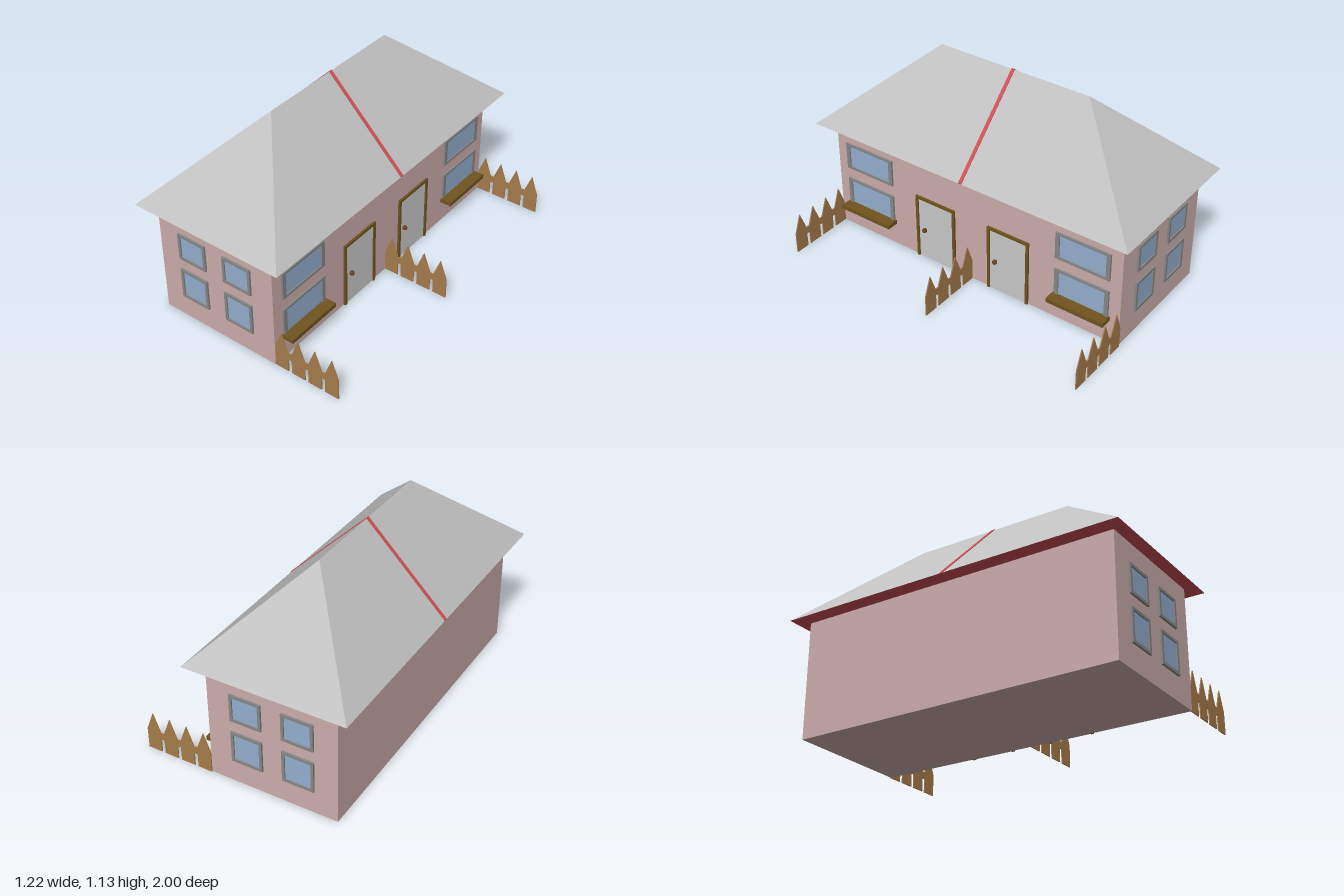
import * as THREE from 'three';

const mat = (name, color, side = THREE.FrontSide) => {
  const m = new THREE.MeshStandardMaterial({ color, side });
  m.name = name;
  return m;
};

export function createModel() {
  const house = new THREE.Group();
  house.name = 'house';
  const wallPink = mat('wallPink', 0xcdafad), roofGrey = mat('roofGrey', 0xc0c0c0);
  const eaveRed = mat('eaveRed', 0xcc5055), frameGrey = mat('frameGrey', 0x888888);
  const glassBlue = mat('glassBlue', 0x95b0d0), doorGrey = mat('doorGrey', 0xcacaca);
  const trimBrown = mat('trimBrown', 0x70541f), fenceTan = mat('fenceTan', 0xa87d4c);
  const knobBrown = mat('knobBrown', 0x6b3f1f);

  const add = (parent, name, geo, material, x = 0, y = 0, z = 0) => {
    const mesh = new THREE.Mesh(geo, material);
    mesh.name = name;
    mesh.position.set(x, y, z);
    parent.add(mesh);
    return mesh;
  };
  const box = (w, h, d) => new THREE.BoxGeometry(w, h, d);
  const shapeOf = pts => new THREE.Shape(pts.map(p => new THREE.Vector2(...p)));
  const rect = (x0, y0, x1, y1) => [[x0, y0], [x1, y0], [x1, y1], [x0, y1]];
  const extrude = (shape, depth) => new THREE.ExtrudeGeometry(shape, { depth, bevelEnabled: false });
  // Flat-shaded faces, each a counter-clockwise list of corners
  const faces = list => {
    const pos = [];
    for (const f of list)
      for (let i = 1; i < f.length - 1; i++) pos.push(...f[0], ...f[i], ...f[i + 1]);
    const g = new THREE.BufferGeometry();
    g.setAttribute('position', new THREE.Float32BufferAttribute(pos, 3));
    g.computeVertexNormals();
    return g;
  };

  // Walls
  const left = 0.214, right = -0.525, halfZ = 0.93, eave = 0.665;
  add(house, 'walls', box(left - right, eave, halfZ * 2), wallPink, (left + right) / 2, eave / 2, 0);

  // Hipped roof with a coloured underside
  const rx0 = -0.612, rx1 = 0.308, ridgeX = -0.153, ridgeY = 1.127;
  const A = [rx0, eave, 1], B = [rx1, eave, 1], C = [rx1, eave, -1], D = [rx0, eave, -1];
  const P = [ridgeX, ridgeY, 0.467], Q = [ridgeX, ridgeY, -0.467];
  add(house, 'roof', faces([[A, B, P], [B, C, Q, P], [C, D, Q], [D, A, P, Q]]), roofGrey);
  add(house, 'eaveUnderside', faces([[A, D, C, B]]), eaveRed);

  // Stripe dividing the two homes
  const stripe = shapeOf([[rx0, eave], [ridgeX, ridgeY], [rx1, eave],
    [rx1, eave + 0.005], [ridgeX, ridgeY + 0.005], [rx0, eave + 0.005]]);
  add(house, 'roofStripe', extrude(stripe, 0.02), eaveRed, 0, 0, -0.01);

  // One group per decorated wall: local x runs along the wall, local z points out
  const wallGroup = (name, x, z, turn) => {
    const g = new THREE.Group();
    g.name = name;
    g.position.set(x, 0, z);
    g.rotation.y = turn;
    house.add(g);
    return g;
  };
  const addWindow = (wall, x0, x1, y0, y1, bx, by) => {
    const inner = rect(x0 + bx, y0 + by, x1 - bx, y1 - by);
    const s = shapeOf(rect(x0, y0, x1, y1));
    s.holes.push(new THREE.Path(inner.map(p => new THREE.Vector2(...p))));
    add(wall, 'windowFrame', extrude(s, 0.011), frameGrey);
    add(wall, 'windowGlass', new THREE.ShapeGeometry(shapeOf(inner)), glassBlue, 0, 0, 0.004);
  };
  const rows = [[0.135, 0.319], [0.387, 0.548]];

  // End walls, four windows each
  for (const s of [1, -1]) {
    const end = wallGroup(s > 0 ? 'frontWall' : 'backWall', 0, s * halfZ, s > 0 ? 0 : Math.PI);
    for (const c of [-0.305, -0.01])
      for (const [y0, y1] of rows) addWindow(end, s * c - 0.09, s * c + 0.09, y0, y1, 0.016, 0.016);
  }

  // Entrance wall, mirrored about the middle
  const entrance = wallGroup('entranceWall', left, 0, Math.PI / 2);
  for (const s of [1, -1]) {
    for (const [y0, y1] of rows) addWindow(entrance, s * 0.7 - 0.163, s * 0.7 + 0.163, y0, y1, 0.024, 0.014);
    add(entrance, 'windowSill', box(0.345, 0.024, 0.07), trimBrown, s * 0.7, 0.147, 0.035);

    const c = s * 0.241, w = 0.132, h = 0.398, t = 0.016;
    const trim = shapeOf([[c - w, 0], [c - w + t, 0], [c - w + t, h - t], [c + w - t, h - t],
      [c + w - t, 0], [c + w, 0], [c + w, h], [c - w, h]]);
    add(entrance, 'doorFrame', extrude(trim, 0.012), trimBrown);
    add(entrance, 'door', box((w - t) * 2, h - t, 0.004), doorGrey, c, (h - t) / 2, 0.002);
    add(entrance, 'doorKnob', new THREE.SphereGeometry(0.014, 16, 12), knobBrown,
      s > 0 ? 0.161 : -0.316, 0.187, 0.012);
  }

  // Picket fences: pointed boards joined by a rail, cut out in one outline
  const outline = [], step = 0.1045, boardW = 0.083, n = 4;
  for (let i = 0; i < n; i++) {
    const x = i * step;
    if (i) outline.push([x - step + boardW, 0.08], [x, 0.08]);
    outline.push([x, 0], [x + boardW, 0]);
  }
  for (let i = n - 1; i >= 0; i--) {
    const x = i * step;
    outline.push([x + boardW, 0.122], [x + boardW / 2, 0.231], [x, 0.122]);
  }
  const fenceGeo = extrude(shapeOf(outline), 0.006);
  for (const z of [0.925, 0, -0.934]) add(house, 'picketFence', fenceGeo, fenceTan, left, 0, z - 0.003);

  return house;
}
